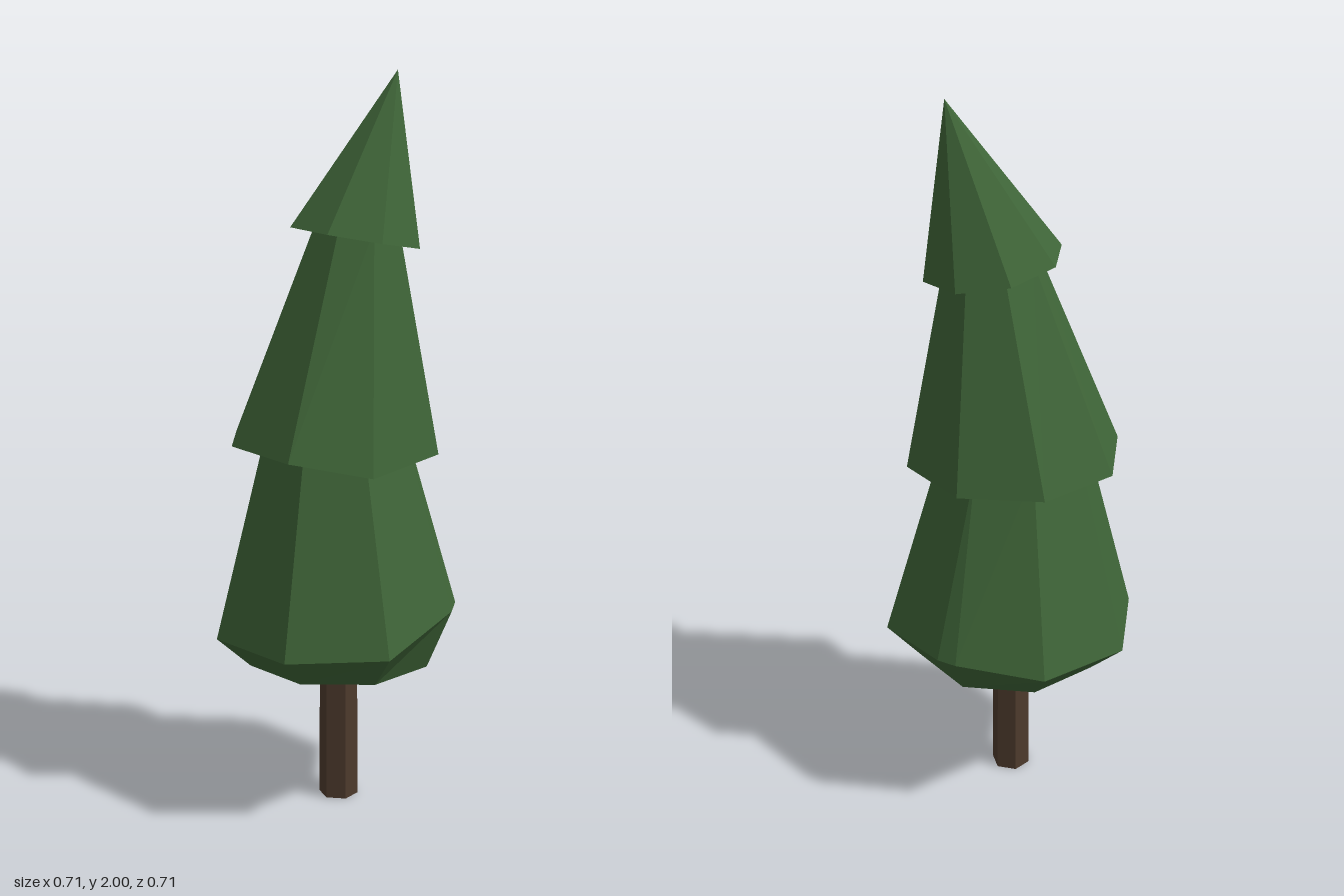
import * as THREE from 'three';

const needles = new THREE.MeshStandardMaterial({ color: 0x3f6538 });
needles.name = 'needle green';
const bark = new THREE.MeshStandardMaterial({ color: 0x4d3a2c });
bark.name = 'bark brown';

// Level octagon, corners running from +x towards +z
function octagon(cx, y, r) {
  return Array.from({ length: 8 }, (_, i) => {
    const a = (i * Math.PI) / 4;
    return [cx + r * Math.cos(a), y, r * Math.sin(a)];
  });
}

// Closed flat-faced solid: bottom point, rings from low to high, top point
function loft(bottom, rings, top) {
  const pos = [];
  const tri = (a, b, c) => pos.push(...a, ...b, ...c);
  const n = rings[0].length;
  for (let i = 0; i < n; i++) {
    const j = (i + 1) % n;
    tri(bottom, rings[0][i], rings[0][j]);
    for (let k = 0; k + 1 < rings.length; k++) {
      const lo = rings[k], hi = rings[k + 1];
      tri(lo[i], hi[i], lo[j]);
      tri(lo[j], hi[i], hi[j]);
    }
    const last = rings[rings.length - 1];
    tri(top, last[j], last[i]);
  }
  const geo = new THREE.BufferGeometry();
  geo.setAttribute('position', new THREE.Float32BufferAttribute(pos, 3));
  geo.computeVertexNormals();
  return geo;
}

export function createModel() {
  const tree = new THREE.Group();
  tree.name = 'pineTree';
  const add = (name, geo, mat) => {
    const mesh = new THREE.Mesh(geo, mat);
    mesh.name = name;
    tree.add(mesh);
    return mesh;
  };

  // Six-sided trunk
  const trunkGeo = new THREE.CylinderGeometry(0.052, 0.055, 0.44, 6).toNonIndexed();
  trunkGeo.computeVertexNormals();
  add('trunk', trunkGeo, bark).position.set(-0.002, 0.22, 0);

  // Lower tier: uneven rim with one clipped back corner and a bevelled underside
  const rim = [
    [0.355, 0.52, 0], [0.22, 0.59, 0.262], [0, 0.51, 0.355], [-0.252, 0.5, 0.252],
    [-0.355, 0.5, 0], [-0.252, 0.5, -0.252], [0, 0.51, -0.355],
    [0.222, 0.54, -0.265], [0.262, 0.54, -0.226],
  ];
  // Repeat the clipped corner so every ring has nine points
  const nine = (ring) => [...ring, ring[7]];
  add('lowerFoliage', loft(
    [0, 0.41, 0],
    [nine(octagon(0, 0.412, 0.26)), rim, nine(octagon(-0.01, 1.06, 0.2))],
    [-0.01, 1.06, 0],
  ), needles);

  // Middle tier, leaning towards +x
  add('middleFoliage', loft(
    [-0.01, 1.04, 0],
    [
      [
        [0.285, 1.015, 0], [0.2, 1.01, 0.207], [-0.01, 0.975, 0.265], [-0.222, 1.02, 0.207],
        [-0.305, 1.03, 0], [-0.222, 1.025, -0.21], [-0.013, 1.02, -0.295], [0.198, 1.015, -0.207],
      ],
      octagon(0.05, 1.6, 0.12),
    ],
    [0.05, 1.6, 0],
  ), needles);

  // Crown with a tilted rim and an off-centre tip
  const crownRim = octagon(0.046, 0, 0.183).map(([x, , z]) => [x, 1.576 - 0.178 * (x - 0.0), z]);
  add('topFoliage', loft([0.046, 1.58, 0], [crownRim], [0.165, 2, 0]), needles);

  return tree;
}
